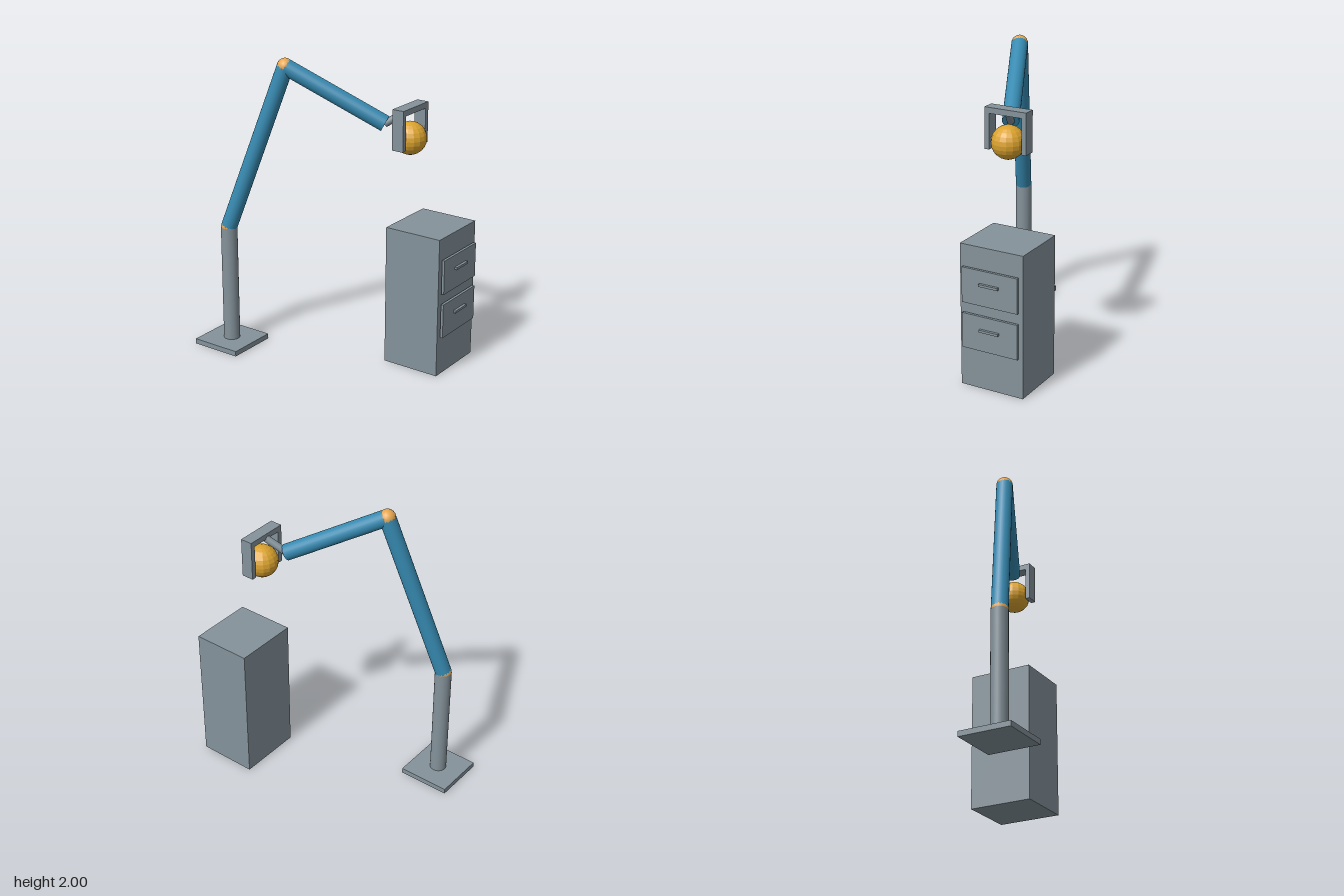
import * as THREE from 'three';

export function createModel() {
  const root = new THREE.Group();
  const mat = (name, color, flatShading = false) => {
    const m = new THREE.MeshStandardMaterial({ color, flatShading });
    m.name = name;
    return m;
  };
  const steel = mat('steel grey', 0x84929a);
  const blue = mat('arm blue', 0x3689b0);
  const orange = mat('joint orange', 0xe5a550);
  const gold = mat('ball gold', 0xdba32f, true);

  const add = (name, geometry, material, parent = root) => {
    const mesh = new THREE.Mesh(geometry, material);
    mesh.name = name;
    parent.add(mesh);
    return mesh;
  };
  // Box given by its lower and upper limits on each axis
  const box = (name, [x0, x1], [y0, y1], [z0, z1], parent) => {
    const mesh = add(name, new THREE.BoxGeometry(x1 - x0, y1 - y0, z1 - z0), steel, parent);
    mesh.position.set((x0 + x1) / 2, (y0 + y1) / 2, (z0 + z1) / 2);
  };
  // Cylinder running between two points
  const rod = (name, a, b, radius, material) => {
    const dir = b.clone().sub(a);
    const mesh = add(name, new THREE.CylinderGeometry(radius, radius, dir.length(), 24), material);
    mesh.position.copy(a).lerp(b, 0.5);
    mesh.quaternion.setFromUnitVectors(new THREE.Vector3(0, 1, 0), dir.normalize());
  };
  const ball = (name, p, radius, material) => {
    add(name, new THREE.SphereGeometry(radius, 16, 12), material).position.copy(p);
  };

  const foot = new THREE.Vector3(-0.315, 0.035, -0.643);
  const shoulder = new THREE.Vector3(-0.315, 0.838, -0.643);
  const elbow = new THREE.Vector3(-0.145, 1.945, -0.287);
  const wrist = new THREE.Vector3(0.125, 1.605, 0.298);
  const grip = new THREE.Vector3(0.193, 1.71, 0.443);

  // Stand and jointed arm
  box('basePlate', [-0.49, -0.14], [0, 0.035], [-0.818, -0.468]);
  rod('post', foot, shoulder, 0.055, steel);
  ball('shoulderJoint', shoulder, 0.055, orange);
  rod('lowerArm', shoulder, elbow, 0.054, blue);
  ball('elbowJoint', elbow, 0.055, orange);
  rod('upperArm', elbow, wrist, 0.054, blue);
  rod('wristRod', wrist, grip, 0.024, steel);

  // Gripper holding the ball
  const gripper = new THREE.Group();
  gripper.name = 'gripper';
  root.add(gripper);
  const zGrip = [0.402, 0.484];
  box('gripperBar', [0.048, 0.338], [1.694, 1.732], zGrip, gripper);
  box('rightFinger', [0.048, 0.08], [1.465, 1.694], zGrip, gripper);
  box('leftFinger', [0.306, 0.338], [1.465, 1.694], zGrip, gripper);
  ball('heldBall', new THREE.Vector3(0.193, 1.52, 0.445), 0.108, gold);

  // Cabinet with two drawers
  const cabinet = new THREE.Group();
  cabinet.name = 'cabinet';
  root.add(cabinet);
  box('cabinetBody', [0.042, 0.483], [0, 0.945], [0.372, 0.773], cabinet);
  for (const [i, y] of [0.385, 0.688].entries()) {
    box(`drawerFront${i + 1}`, [0.067, 0.457], [y - 0.116, y + 0.116], [0.781, 0.799], cabinet);
    box(`drawerHandle${i + 1}`, [0.195, 0.33], [y + 0.017, y + 0.033], [0.799, 0.817], cabinet);
  }
  return root;
}
